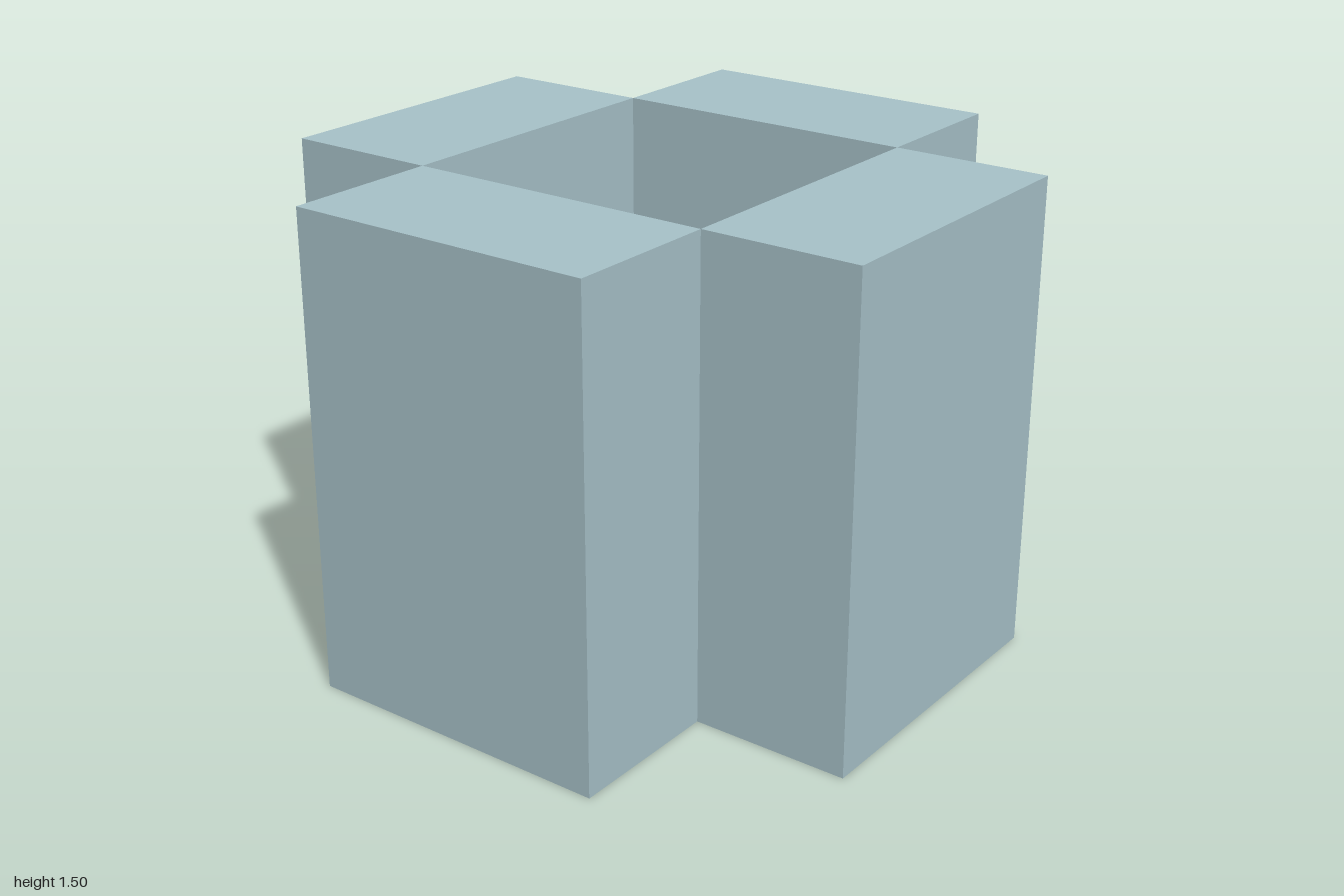
import * as THREE from 'three';

export function createModel() {
  const model = new THREE.Group();
  model.name = 'blockRing';

  const paleBlue = new THREE.MeshStandardMaterial({ color: 0xa8c3ca });
  paleBlue.name = 'paleBlue';

  // Four equal blocks around an open square shaft, touching at their inner edges
  const width = 1, height = 1.5, depth = 0.5;
  const block = new THREE.BoxGeometry(width, height, depth);
  block.translate(0, height / 2, width / 2 + depth / 2);

  ['frontBlock', 'leftBlock', 'backBlock', 'rightBlock'].forEach((name, i) => {
    const mesh = new THREE.Mesh(block, paleBlue);
    mesh.name = name;
    mesh.rotation.y = (i * Math.PI) / 2;
    model.add(mesh);
  });

  return model;
}
